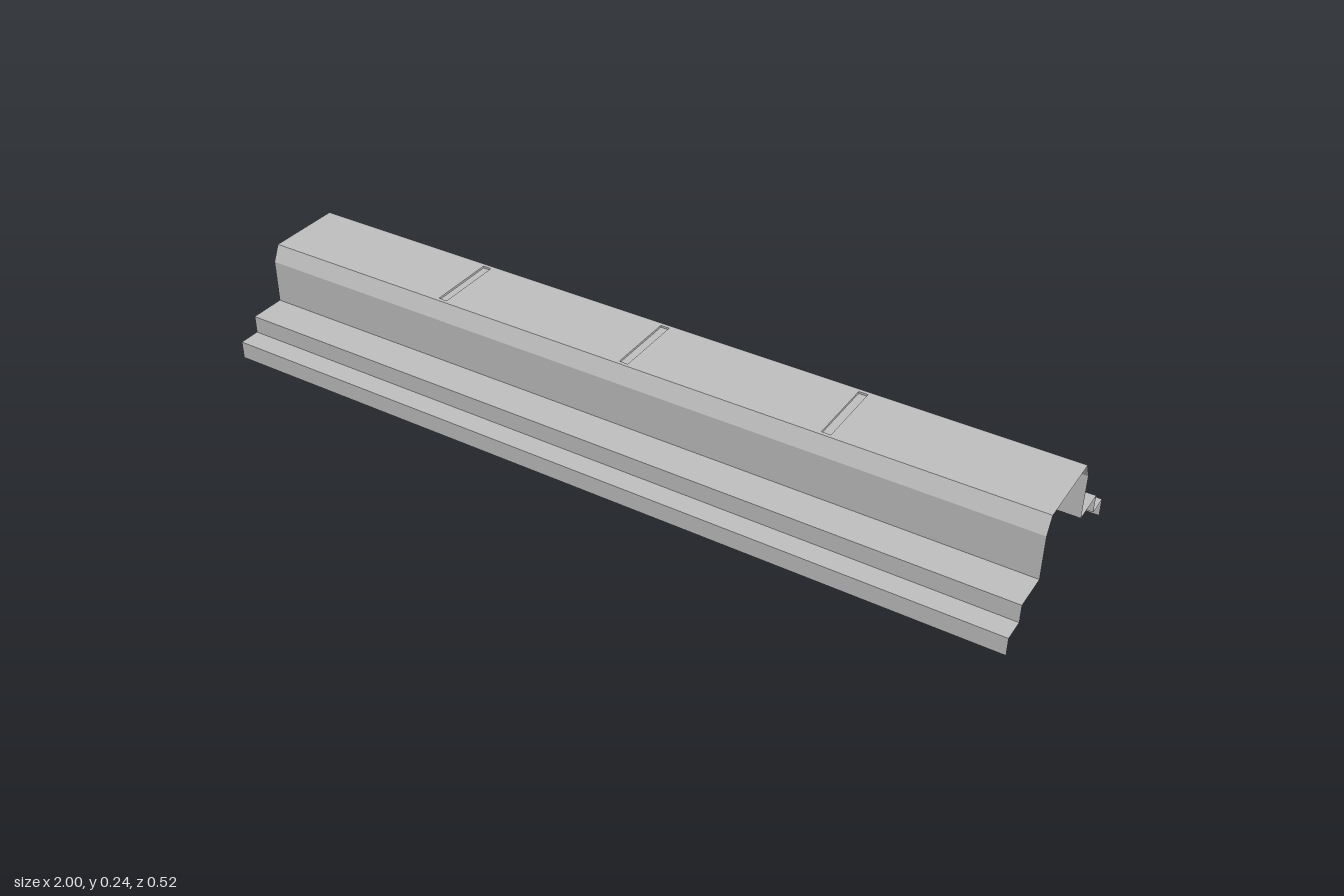
import * as THREE from 'three';

const LENGTH = 2, TOP = 0.24, TOP_HALF = 0.096;
const GROOVE = { xs: [-0.5, 0, 0.5], width: 0.022, half: 0.087, depth: 0.005 };

// Folded sheet: sweeps a [z, y] profile along x, one flat strip per segment
function foldedSheet(profile) {
  const pos = [], h = LENGTH / 2;
  for (let i = 0; i < profile.length - 1; i++) {
    const [z0, y0] = profile[i], [z1, y1] = profile[i + 1];
    const a = [-h, y0, z0], b = [h, y0, z0], c = [h, y1, z1], d = [-h, y1, z1];
    pos.push(...a, ...b, ...c, ...a, ...c, ...d);
  }
  const g = new THREE.BufferGeometry();
  g.setAttribute('position', new THREE.Float32BufferAttribute(pos, 3));
  g.computeVertexNormals();
  return g;
}

function rectPoints(x0, x1, z) {
  return [[x0, -z], [x1, -z], [x1, z], [x0, z]].map(p => new THREE.Vector2(...p));
}

export function createModel() {
  const model = new THREE.Group();
  model.name = 'hatChannel';
  const steel = new THREE.MeshStandardMaterial({ color: 0xc0c0c0, side: THREE.DoubleSide });
  steel.name = 'galvanised grey';
  const add = (parent, name, geometry) => {
    const mesh = new THREE.Mesh(geometry, steel);
    mesh.name = name;
    parent.add(mesh);
    return mesh;
  };

  // Stepped side: lip, two ledges, upright wall and steep chamfer
  const side = foldedSheet([
    [0.26, 0], [0.26, 0.045], [0.206, 0.045], [0.206, 0.09],
    [0.115, 0.09], [0.115, 0.2], [TOP_HALF, TOP],
  ]);
  add(model, 'frontSide', side);
  add(model, 'backSide', side).rotation.y = Math.PI;

  // Top sheet with openings for the cross grooves
  const shape = new THREE.Shape(rectPoints(-LENGTH / 2, LENGTH / 2, TOP_HALF));
  const w = GROOVE.width / 2;
  for (const x of GROOVE.xs) {
    shape.holes.push(new THREE.Path(rectPoints(x - w, x + w, GROOVE.half)));
  }
  add(model, 'topSheet', new THREE.ShapeGeometry(shape).rotateX(-Math.PI / 2).translate(0, TOP, 0));

  // Shallow pressed grooves: floor and four walls
  for (const x of GROOVE.xs) {
    const groove = new THREE.Group();
    groove.name = 'crossGroove';
    groove.position.set(x, TOP - GROOVE.depth, 0);
    model.add(groove);
    add(groove, 'grooveFloor', new THREE.PlaneGeometry(GROOVE.width, GROOVE.half * 2).rotateX(-Math.PI / 2));
    for (const s of [-1, 1]) {
      add(groove, 'grooveLongWall', new THREE.PlaneGeometry(GROOVE.half * 2, GROOVE.depth)
        .rotateY(-s * Math.PI / 2).translate(s * w, GROOVE.depth / 2, 0));
      add(groove, 'grooveEndWall', new THREE.PlaneGeometry(GROOVE.width, GROOVE.depth)
        .rotateY(s > 0 ? Math.PI : 0).translate(0, GROOVE.depth / 2, s * GROOVE.half));
    }
  }
  return model;
}
